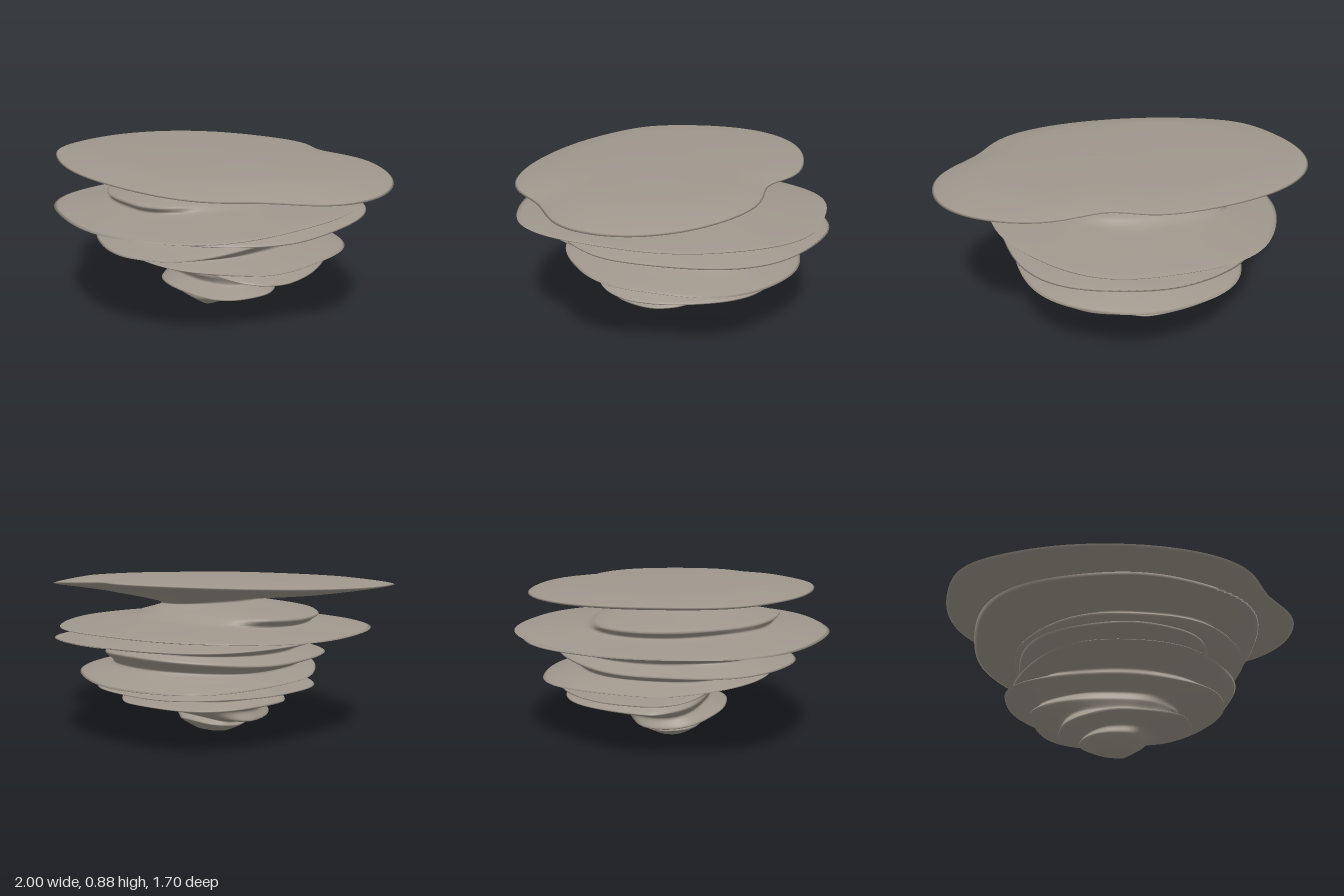
import * as THREE from 'three';

// Stone ledges from bottom to top: reach to left, right, front, back,
// then the height of the edge on those same sides
const ledges = [
  [0.23, 0.11, 0.18, 0.19, 0.06, 0.065, 0.07, 0.09],
  [0.34, 0.38, 0.30, 0.22, 0.105, 0.155, 0.155, 0.145],
  [0.50, 0.30, 0.22, 0.58, 0.225, 0.235, 0.24, 0.24],
  [0.64, 0.56, 0.33, 0.60, 0.31, 0.275, 0.33, 0.285],
  [0.60, 0.62, 0.57, 0.71, 0.35, 0.37, 0.40, 0.34],
  [0.57, 0.45, 0.68, 0.61, 0.44, 0.47, 0.44, 0.485],
  [0.60, 0.68, 0.58, 0.85, 0.53, 0.535, 0.54, 0.56],
  [0.82, 0.73, 0.85, 0.82, 0.58, 0.625, 0.60, 0.615],
  [0.60, 0.30, 0.58, 0.37, 0.67, 0.685, 0.69, 0.69],
];
const foot = [0.14, 0.03, 0.10, 0.07, 0.015, 0.015, 0.015, 0.015];
const neck = [0.22, 0.17, 0.29, 0.30, 0.74, 0.735, 0.745, 0.73];
const slabLip = [1.0, 1.0, 0.76, 0.68, 0.835, 0.79, 0.82, 0.84];

// Hollow between two ledges
const waist = (a, b) => a.map((v, i) => (i < 4
  ? 0.5 * Math.min(v, b[i]) + 0.32 * Math.max(v, b[i])
  : (v + b[i]) / 2));

// Slab ring: the lip drawn inward and levelled towards a height
const inset = (scale, height, level) => slabLip.map((v, i) => (i < 4
  ? v * scale
  : THREE.MathUtils.lerp(v, height, level)));

const body = ledges.flatMap((ledge, i) => (i ? [waist(ledges[i - 1], ledge), ledge] : [foot, ledge]));
const slab = [inset(0.7, 0.775, 0.8), slabLip, inset(0.76, 0.872, 0.75), inset(0.4, 0.872, 0.97)];
const rings = [...body, neck, ...slab];
const slabStart = body.length + 1;

// Swelling (or dent, if negative) centred on one direction of the slab outline
const swell = (angle, centre, width, height) => height * Math.exp(-(((angle - centre) / width) ** 2));

// Point on a ring: four elliptical quarters, with height blended between sides
function ringPoint(ring, i, angle) {
  const c = Math.cos(angle), s = Math.sin(angle);
  const sideX = c < 0 ? 0 : 1, sideZ = s < 0 ? 3 : 2;
  const diagonal = Math.sin(2 * angle) ** 2;
  const k = i >= slabStart
    ? 1 + 0.03 * diagonal + swell(angle, -1.3, 0.2, -0.13)
      + swell(angle, 0.61, 0.3, -0.11) + swell(angle, 2.5, 0.25, 0.035)
    : 1 + diagonal * (0.04 + 0.04 * Math.sin(3 * angle + i * 1.7));
  return new THREE.Vector3(
    ring[sideX] * c * k,
    ring[4 + sideX] * c * c + ring[4 + sideZ] * s * s,
    ring[sideZ] * s * k,
  );
}

// Skin a smooth vertical profile around every direction
function rockGeometry(columns = 112, steps = 6) {
  const rows = (rings.length + 1) * steps;
  const positions = [], index = [];
  for (let j = 0; j < columns; j++) {
    const angle = (j / columns) * Math.PI * 2 - Math.PI;
    const profile = new THREE.CatmullRomCurve3([
      new THREE.Vector3(-0.06, 0, 0.02),
      ...rings.map((ring, i) => ringPoint(ring, i, angle)),
      new THREE.Vector3(0, 0.875, 0),
    ], false, 'catmullrom', 0.3);
    for (const p of profile.getPoints(rows)) positions.push(p.x, Math.max(p.y, 0), p.z);
  }
  const at = (j, i) => (j % columns) * (rows + 1) + i;
  for (let j = 0; j < columns; j++) {
    for (let i = 0; i < rows; i++) {
      const a = at(j, i), up = at(j, i + 1), next = at(j + 1, i), upNext = at(j + 1, i + 1);
      if (i > 0) index.push(a, up, next);
      if (i < rows - 1) index.push(next, up, upNext);
    }
  }
  const geometry = new THREE.BufferGeometry();
  geometry.setAttribute('position', new THREE.Float32BufferAttribute(positions, 3));
  geometry.setIndex(index);
  geometry.computeVertexNormals();
  return geometry;
}

export function createModel() {
  const stone = new THREE.MeshStandardMaterial({ color: 0x9f978c });
  stone.name = 'stone';
  const rock = new THREE.Mesh(rockGeometry(), stone);
  rock.name = 'layeredRock';
  const group = new THREE.Group();
  group.name = 'layeredRockFormation';
  group.add(rock);
  return group;
}
